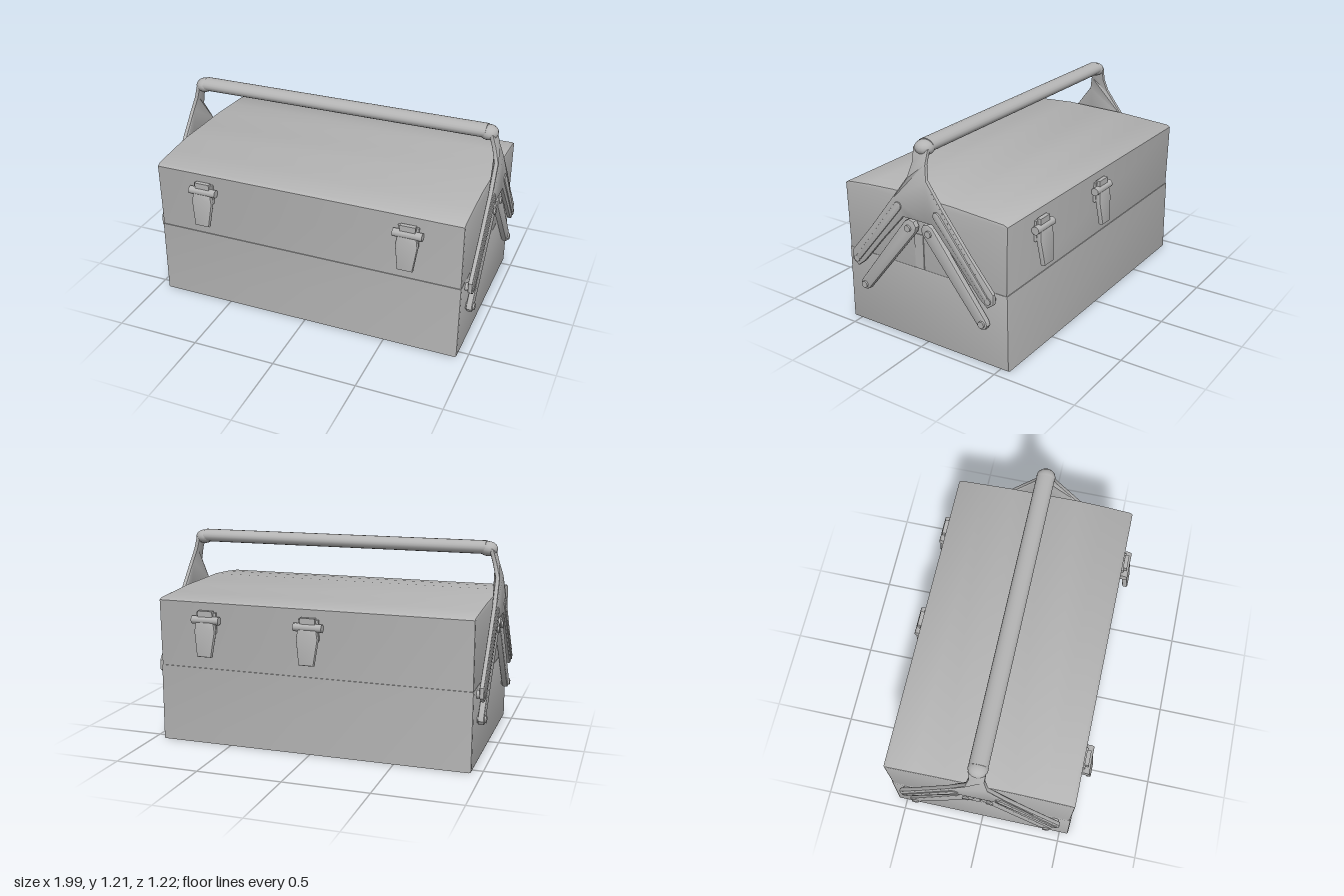
import * as THREE from 'three';
import { toCreasedNormals } from 'three/addons/utils/BufferGeometryUtils.js';

const steel = new THREE.MeshStandardMaterial({ color: 0xb4b4b4 });
steel.name = 'grey steel';

function add(parent, geometry, name, x = 0, y = 0, z = 0) {
  const mesh = new THREE.Mesh(geometry, steel);
  mesh.name = name;
  mesh.position.set(x, y, z);
  parent.add(mesh);
  return mesh;
}

// Extrudes a (z, y) outline along x, centred on x = 0.
function extrudeX(points, width, bevel) {
  const shape = new THREE.Shape(points.map(([z, y]) => new THREE.Vector2(z, y)));
  const g = new THREE.ExtrudeGeometry(shape, {
    depth: width - 2 * bevel, bevelEnabled: bevel > 0, bevelSize: bevel,
    bevelThickness: bevel, bevelOffset: -bevel, bevelSegments: 2,
  });
  g.translate(0, 0, -(width - 2 * bevel) / 2);
  g.rotateY(-Math.PI / 2);
  return g;
}

// Flat tapered bar with rounded ends between two (z, y) points.
function bar([z0, y0], [z1, y1], w0, w1, thick) {
  const angle = Math.atan2(y1 - y0, z1 - z0);
  const pts = [];
  const cap = (cz, cy, r, start) => {
    for (let i = 0; i <= 4; i++) {
      const a = angle + start + (i / 4) * Math.PI;
      pts.push([cz + r * Math.cos(a), cy + r * Math.sin(a)]);
    }
  };
  cap(z0, y0, w0 / 2, Math.PI / 2);
  cap(z1, y1, w1 / 2, -Math.PI / 2);
  return toCreasedNormals(extrudeX(pts, thick, 0.01), 0.7);
}

// Pressed sheet latch: mounting plate, hinge roll, hook and tapered lever.
function makeLatch() {
  const latch = new THREE.Group();
  latch.name = 'latch';
  add(latch, new THREE.BoxGeometry(0.12, 0.12, 0.02), 'latchPlate', 0, 0.75, 0.555);
  const roll = new THREE.CylinderGeometry(0.024, 0.024, 0.17, 10);
  roll.rotateZ(Math.PI / 2);
  add(latch, roll, 'latchHinge', 0, 0.765, 0.572);
  add(latch, new THREE.BoxGeometry(0.09, 0.06, 0.025), 'latchHook', 0, 0.79, 0.57);
  const outline = new THREE.Shape([
    [-0.045, -0.17], [0.045, -0.17], [0.065, -0.02], [0.055, 0.04], [-0.055, 0.04], [-0.065, -0.02],
  ].map(([x, y]) => new THREE.Vector2(x, y)));
  const lever = new THREE.ExtrudeGeometry(outline, {
    depth: 0.016, bevelSize: 0.008, bevelThickness: 0.008, bevelOffset: -0.008, bevelSegments: 2,
  });
  add(latch, toCreasedNormals(lever, 0.7), 'latchLever', 0, 0.72, 0.572).rotation.x = -0.1;
  return latch;
}

// Cantilever linkage on the +x end.
function makeLinkage() {
  const side = new THREE.Group();
  side.name = 'sideLinkage';
  const half = [
    [0.05, 1.18], [0.045, 1.1], [0.065, 1.02], [0.17, 0.88], [0.34, 0.66], [0.49, 0.48],
    [0.49, 0.42], [0.45, 0.39], [0.4, 0.43], [0.25, 0.61], [0.1, 0.78], [0.05, 0.78],
  ];
  const outline = [...half, ...half.map(([z, y]) => [-z, y]).reverse()];
  const plate = extrudeX(outline, 0.026, 0.008);
  // The neck leans in towards the handle.
  const p = plate.attributes.position;
  for (let i = 0; i < p.count; i++) {
    const t = Math.max(0, (p.getY(i) - 1.0) / 0.18);
    p.setX(i, p.getX(i) + 0.974 - 0.05 * t);
  }
  plate.computeVertexNormals();
  add(side, toCreasedNormals(plate, 0.6), 'yokePlate');
  for (const s of [1, -1]) {
    add(side, bar([s * 0.06, 0.73], [s * 0.41, 0.28], 0.09, 0.07, 0.036), 'lowerArm', 0.965);
    add(side, bar([s * 0.13, 0.84], [s * 0.44, 0.45], 0.05, 0.035, 0.03), 'upperArmRib', 0.98);
    for (const [z, y] of [[0.455, 0.435], [0.41, 0.28], [0.07, 0.72]]) {
      const rivet = new THREE.CylinderGeometry(0.02, 0.024, 0.06, 10);
      rivet.rotateZ(-Math.PI / 2);
      add(side, rivet, 'rivet', 0.963, y, s * z);
    }
  }
  // Shoulder joining the neck to the grip.
  const shoulder = new THREE.SphereGeometry(0.05, 14, 10);
  shoulder.scale(1.1, 0.85, 1.15);
  add(side, shoulder, 'gripShoulder', 0.9, 1.175, 0);
  // Overlap strip where the two lid halves meet.
  add(side, new THREE.BoxGeometry(0.008, 0.21, 0.06), 'lidSeamStrip', 0.941, 0.575, 0.03);
  return side;
}

export function createModel() {
  const toolbox = new THREE.Group();
  toolbox.name = 'toolbox';

  // Lower tray
  const tray = extrudeX([[0.555, 0.01], [0.55, 0.47], [-0.55, 0.47], [-0.555, 0.01]], 1.885, 0.012);
  add(toolbox, toCreasedNormals(tray, 0.6), 'tray');

  // Gently crowned lid
  const lid = extrudeX([
    [0.545, 0.462], [0.552, 0.865], [0.53, 0.878], [0.38, 0.893], [0.2, 0.904], [0.0, 0.9],
    [-0.2, 0.897], [-0.38, 0.886], [-0.53, 0.877], [-0.552, 0.865], [-0.545, 0.462],
  ], 1.88, 0.01);
  add(toolbox, toCreasedNormals(lid, 0.6), 'lid');

  // Carrying grip
  const grip = new THREE.CylinderGeometry(0.039, 0.039, 1.78, 18);
  grip.rotateZ(Math.PI / 2);
  grip.scale(1, 1, 1.4);
  add(toolbox, grip, 'grip', 0, 1.183, 0);

  // Linkages on both ends
  for (const turn of [0, Math.PI]) {
    const side = makeLinkage();
    side.rotation.y = turn;
    toolbox.add(side);
  }

  // Two latches in front, two behind
  for (const [x, turn] of [[-0.63, 0], [0.63, 0], [0, Math.PI], [0.63, Math.PI]]) {
    const latch = makeLatch();
    latch.position.x = x;
    latch.rotation.y = turn;
    toolbox.add(latch);
  }
  return toolbox;
}
